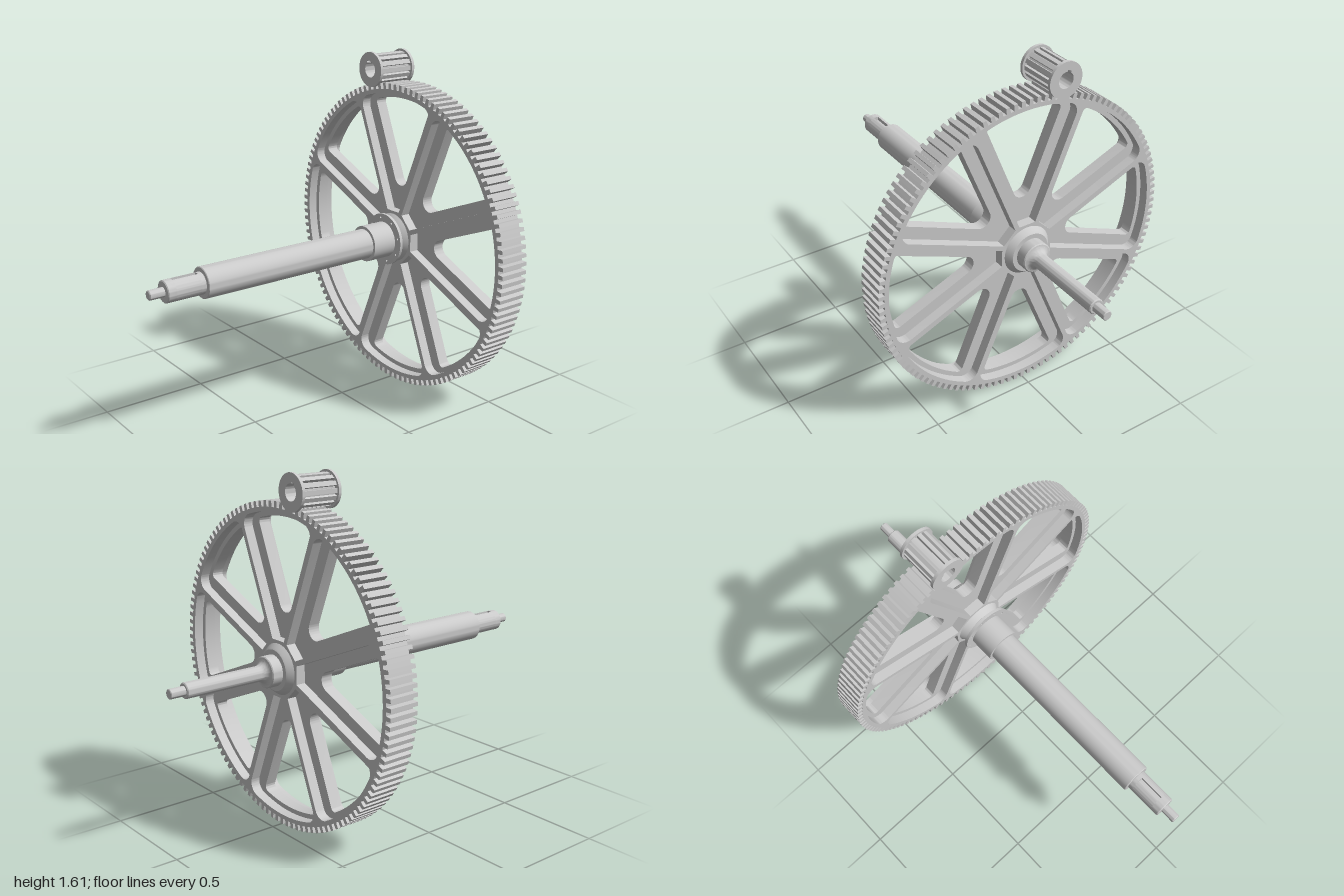
import * as THREE from 'three';
import { toCreasedNormals } from 'three/addons/utils/BufferGeometryUtils.js';

const PI = Math.PI, STEP = PI / 8; // half the angle between spokes
const AXLE_Y = 0.737, WHEEL_Z = -0.378;
const material = new THREE.MeshStandardMaterial({ color: 0xcccccc });

function part(name, geometry, parent) {
  const mesh = new THREE.Mesh(toCreasedNormals(geometry, 0.5), material);
  mesh.name = name;
  parent.add(mesh);
  return mesh;
}

// Extrusion along z between z0 and z1
function slab(shape, z0, z1, curveSegments = 32) {
  const g = new THREE.ExtrudeGeometry(shape, { depth: z1 - z0, bevelEnabled: false, curveSegments });
  return g.translate(0, 0, z0);
}

// Revolved solid around z; profile is [radius, z] from back to front
function turned(profile, segments = 48) {
  const pts = profile.map(([r, z]) => new THREE.Vector2(r, z));
  return new THREE.LatheGeometry(pts, segments).rotateX(PI / 2);
}

function circle(r, x = 0, y = 0) {
  return new THREE.Shape().absarc(x, y, r, 0, PI * 2);
}

// Circle with a rectangular key notch ending at notchR, cut at the given angle
function keyedCircle(r, notchR, halfWidth, angle) {
  const d = Math.asin(halfWidth / r);
  const s = new THREE.Shape();
  s.absarc(0, 0, r, angle + d, angle + PI * 2 - d);
  const c = Math.cos(angle), n = Math.sin(angle);
  s.lineTo(notchR * c + halfWidth * n, notchR * n - halfWidth * c);
  s.lineTo(notchR * c - halfWidth * n, notchR * n + halfWidth * c);
  s.closePath();
  return s;
}

// Straight-sided gear outline
function toothed(count, root, tip, rootShare, tipShare) {
  const pts = [], pitch = PI * 2 / count;
  for (let i = 0; i < count; i++) {
    for (const [r, f] of [[root, -rootShare], [tip, -tipShare], [tip, tipShare], [root, rootShare]]) {
      const a = (i + f / 2) * pitch;
      pts.push(new THREE.Vector2(r * Math.cos(a), r * Math.sin(a)));
    }
  }
  return new THREE.Shape(pts);
}

// Opening between two spokes: sides lie w from the spoke lines, outer corners rounded by q,
// inner end at x = inner, either flat or a full round
function opening(angle, w, R, q, inner, round) {
  const t = Math.sqrt((R - q) ** 2 - (w + q) ** 2);
  const phi = STEP - Math.atan2(w + q, t);
  const cx = (R - q) * Math.cos(phi), cy = (R - q) * Math.sin(phi);
  const apex = w / Math.sin(STEP);
  const s = new THREE.Shape();
  if (round) {
    const k = Math.sin(STEP), c = (inner - apex * k) / (1 - k);
    s.absarc(c, 0, (c - apex) * k, PI / 2 + STEP, PI * 1.5 - STEP);
  } else {
    const y = (inner - apex) * Math.tan(STEP);
    s.moveTo(inner, y);
    s.lineTo(inner, -y);
  }
  s.absarc(cx, -cy, q, -PI / 2 - STEP, -phi);
  s.absarc(0, 0, R, -phi, phi);
  s.absarc(cx, cy, q, phi, PI / 2 + STEP);
  s.closePath();
  const origin = new THREE.Vector2();
  return new THREE.Path(s.getPoints(10).map(p => p.rotateAround(origin, angle)));
}

function makeWheel() {
  const wheel = new THREE.Group();
  wheel.name = 'spokedWheel';
  wheel.position.z = WHEEL_Z;

  // Full-depth rim, ribs and hub, with a thinner web behind each pocket
  const frame = toothed(120, 0.71, 0.737, 0.55, 0.45);
  const web = circle(0.7);
  for (let i = 0; i < 8; i++) {
    frame.holes.push(opening(i * PI / 4, 0.011, 0.69, 0.05, 0.13, false));
    web.holes.push(opening(i * PI / 4, 0.067, 0.668, 0.02, 0.248, true));
  }
  part('toothedRimAndRibs', slab(frame, -0.072, 0.072), wheel);
  part('spokeWeb', slab(web, -0.027, 0.027, 64), wheel);
  part('hubBoss', turned([[0, -0.1], [0.093, -0.1], [0.1, -0.094], [0.118, -0.07],
    [0.118, 0.07], [0.1, 0.096], [0.093, 0.103], [0, 0.103]]), wheel);
  return wheel;
}

function makeShaft() {
  const shaft = new THREE.Group();
  shaft.name = 'shaft';

  // Rear journal with a concave fillet, through to the front shoulder
  const profile = [[0, -1], [0.019, -1], [0.022, -0.997], [0.022, -0.93], [0.031, -0.93], [0.035, -0.926]];
  for (let i = 0; i <= 6; i++) {
    const a = i / 6 * PI / 2;
    profile.push([0.067 - 0.032 * Math.cos(a), -0.565 + 0.035 * Math.sin(a)]);
  }
  profile.push([0.071, -0.526], [0.071, -0.4], [0.085, -0.4], [0.085, -0.13], [0.071, -0.13],
    [0.071, 0.747], [0.068, 0.75], [0.05, 0.75], [0.05, 0.77], [0, 0.77]);
  part('mainShaft', turned(profile), shaft);

  // Keyed front journal
  part('keyedJournal', slab(keyedCircle(0.05, 0.03, 0.012, PI / 2), 0.77, 0.89), shaft);
  part('frontJournal', turned([[0, 0.89], [0.05, 0.89], [0.05, 0.926], [0.046, 0.93],
    [0.022, 0.93], [0.022, 0.996], [0.018, 1], [0, 1]]), shaft);

  // Bolting flange with a ring of small holes
  const flange = circle(0.124);
  for (let i = 0; i < 8; i++) {
    const a = (i + 0.3) * PI / 4;
    flange.holes.push(circle(0.005, 0.106 * Math.cos(a), 0.106 * Math.sin(a)));
  }
  part('boltFlange', slab(flange, -0.264, -0.25), shaft);
  return shaft;
}

function makePinion() {
  const pinion = new THREE.Group();
  pinion.name = 'pinion';
  pinion.position.set(-0.148, 1.527 - AXLE_Y, WHEEL_Z);
  const bore = () => keyedCircle(0.037, 0.044, 0.01, PI * 0.62);

  const teeth = toothed(14, 0.058, 0.072, 0.7, 0.6);
  teeth.holes.push(bore());
  part('pinionTeeth', slab(teeth, -0.09, 0.09), pinion);
  for (const side of [-1, 1]) {
    const disc = circle(0.082);
    disc.holes.push(bore());
    const z = side * 0.094;
    part(side > 0 ? 'frontGuideDisc' : 'rearGuideDisc', slab(disc, z - 0.007, z + 0.007), pinion);
  }
  return pinion;
}

export function createModel() {
  const model = new THREE.Group();
  model.name = 'wheelAndShaft';
  model.position.y = 0;
  const assembly = new THREE.Group();
  assembly.name = 'assembly';
  assembly.position.y = AXLE_Y;
  assembly.add(makeWheel(), makeShaft(), makePinion());
  model.add(assembly);
  return model;
}
